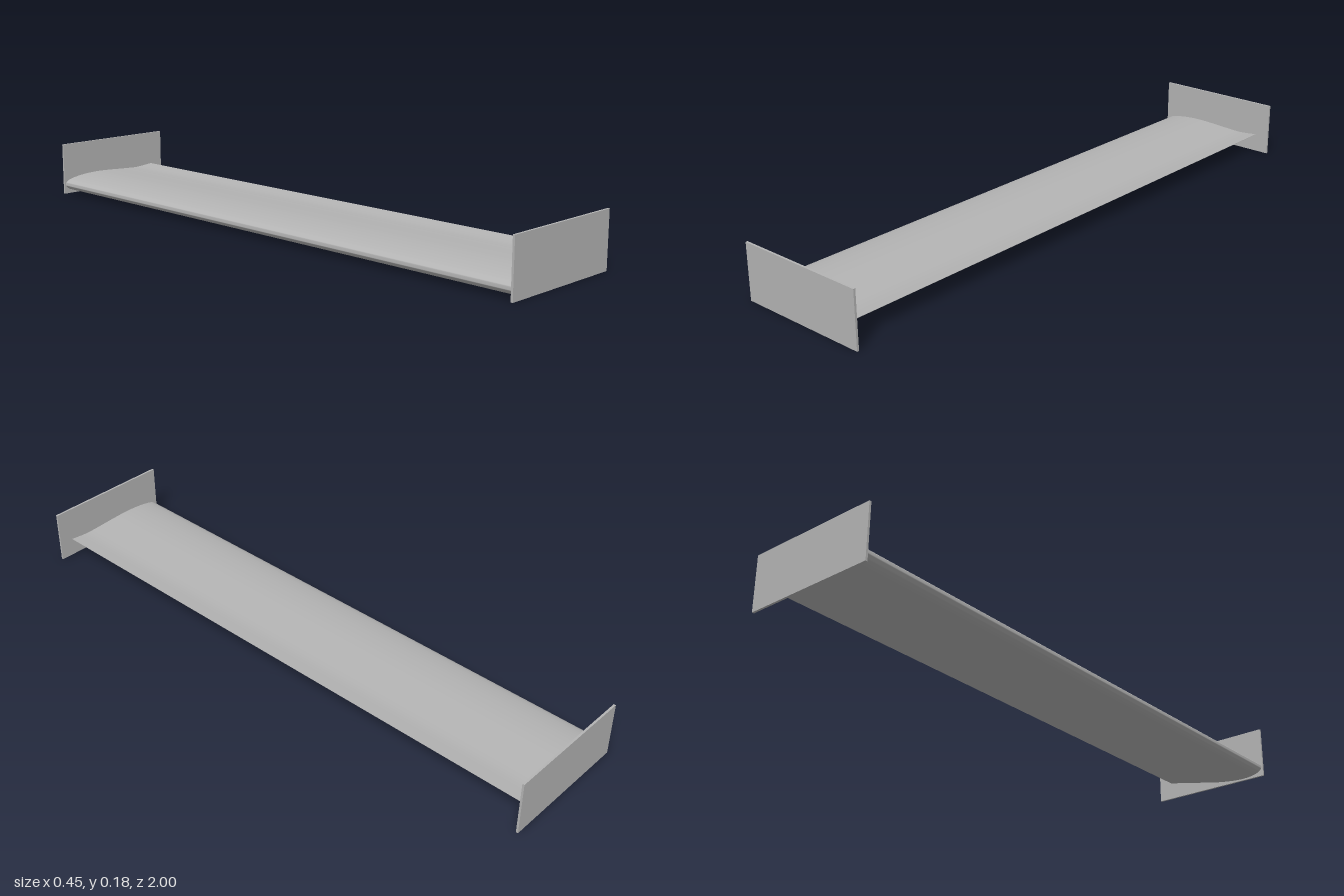
import * as THREE from 'three';
import { toCreasedNormals } from 'three/addons/utils/BufferGeometryUtils.js';

export function createModel() {
  const model = new THREE.Group();
  model.name = 'rearWing';
  const grey = new THREE.MeshStandardMaterial({ color: 0xb4b4b4 });
  grey.name = 'grey';

  const plateThickness = 0.007;
  const halfSpan = 1 - plateThickness;
  const vectors = (points) => points.map(([x, y]) => new THREE.Vector2(x, y));

  // Wing section: blunt nose at -x, sharp raised trailing edge at +x
  const profile = new THREE.Shape();
  profile.moveTo(0.175, 0.063);
  profile.splineThru(vectors([
    [0.11, 0.057], [0.05, 0.059], [-0.02, 0.063], [-0.08, 0.065], [-0.14, 0.062],
    [-0.19, 0.054], [-0.213, 0.045], [-0.22, 0.034], [-0.212, 0.021], [-0.19, 0.011],
    [-0.15, 0.006], [-0.1, 0.008], [-0.03, 0.018], [0.04, 0.033], [0.11, 0.048], [0.175, 0.062],
  ]));
  profile.closePath();
  const wingGeometry = new THREE.ExtrudeGeometry(profile, {
    depth: 2 * halfSpan, bevelEnabled: false, curveSegments: 5,
  });
  wingGeometry.translate(0, 0, -halfSpan);
  const wing = new THREE.Mesh(toCreasedNormals(wingGeometry, 0.7), grey);
  wing.name = 'wing';
  model.add(wing);

  // Upright plates closing both ends of the wing
  const plateGeometry = new THREE.BoxGeometry(0.45, 0.182, plateThickness);
  for (const side of [1, -1]) {
    const plate = new THREE.Mesh(plateGeometry, grey);
    plate.name = side > 0 ? 'frontEndPlate' : 'backEndPlate';
    plate.position.set(0, 0.091, side * (1 - plateThickness / 2));
    model.add(plate);
  }
  return model;
}
